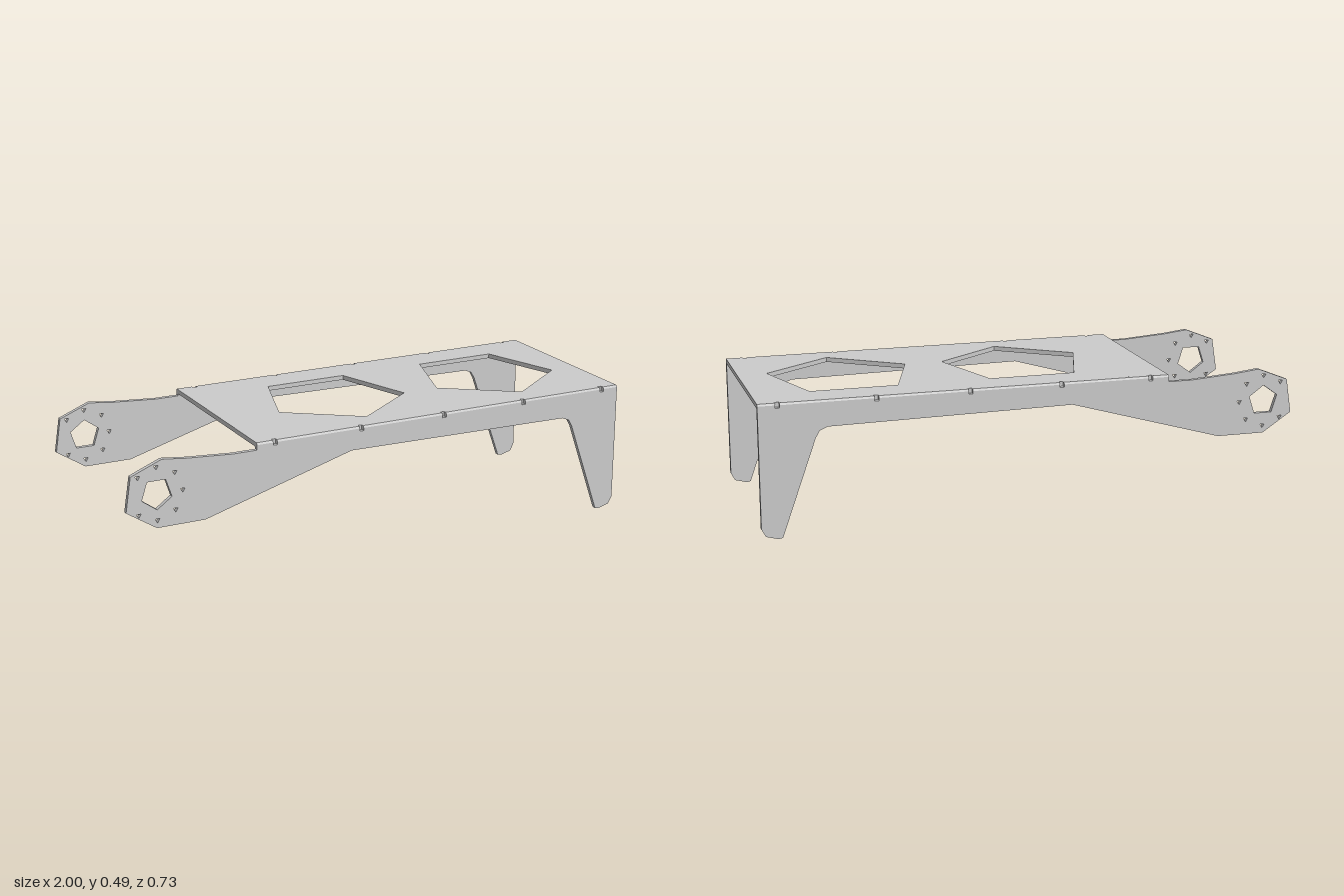
import * as THREE from 'three';

const material = new THREE.MeshStandardMaterial({ color: 0xcccccc, flatShading: true });
const T = 0.017;          // sheet thickness
const TOP = 0.49;         // upper face height
const HALF = 0.365;       // half depth
const X0 = -0.51, X1 = 1; // deck ends

const outline = (points) => points.map(([x, y]) => new THREE.Vector2(x, y));

function polygon(cx, cy, r, sides, start) {
  return Array.from({ length: sides }, (_, i) => {
    const a = start + (i / sides) * Math.PI * 2;
    return [cx + r * Math.cos(a), cy + r * Math.sin(a)];
  });
}

function sheet(name, points, holes, depth) {
  const shape = new THREE.Shape(outline(points));
  for (const h of holes) shape.holes.push(new THREE.Path(outline(h)));
  const geometry = new THREE.ExtrudeGeometry(shape, { depth, bevelEnabled: false });
  const mesh = new THREE.Mesh(geometry, material);
  mesh.name = name;
  return mesh;
}

export function createModel() {
  const model = new THREE.Group();
  model.name = 'bentSheetBracket';

  // Deck with two pentagon windows (shape y is -z)
  const windowPoints = [[-0.19, 0.228], [0.13, 0.228], [0.23, -0.08], [-0.03, -0.27], [-0.29, -0.08]];
  const windows = [0, 0.662].map((dx) => windowPoints.map(([x, y]) => [x + dx, y]));
  const inner = HALF - T;
  const deck = sheet('deck', [[X0, -inner], [X1, -inner], [X1, inner], [X0, inner]], windows, T);
  deck.rotation.x = -Math.PI / 2;
  deck.position.y = TOP - T;
  model.add(deck);

  // Side wall: pivot head, tapering arm, rail and leg
  const wall = [
    [-1, 0.315], [-0.89, 0.243], [-0.71, 0.243], [-0.14, 0.406], [0.755, 0.394],
    [0.785, 0.382], [0.8, 0.355], [0.925, 0.003], [0.94, 0], [0.985, 0.012], [1, 0.04],
    [X1, TOP - T], [X0, TOP - T], [X0, 0.465], [-0.6, 0.465], [-0.77, 0.477],
    [-0.865, 0.488], [-0.98, 0.442],
  ];
  const hub = [-0.887, 0.367];

  // Rounded fold cross-section (shape x is depth, y is height)
  const fold = [
    [inner, TOP - T], [HALF, TOP - T], [HALF, TOP - 0.007],
    [HALF - 0.002, TOP - 0.003], [HALF - 0.006, TOP], [inner, TOP],
  ];
  const notches = [-0.44, -0.1, 0.24, 0.58, 0.93];

  for (const side of [1, -1]) {
    const label = side > 0 ? 'front' : 'back';

    // Pivot opening ringed by small triangular screw holes
    const holes = [polygon(...hub, 0.058, 5, -side * Math.PI / 2)];
    for (let i = 0; i < 8; i++) {
      const a = (i / 8) * Math.PI * 2;
      holes.push(polygon(hub[0] + 0.096 * Math.cos(a), hub[1] + 0.096 * Math.sin(a), 0.01, 3, -Math.PI / 2));
    }
    const panel = sheet(label + 'SideWall', wall, holes, T);
    panel.position.z = side > 0 ? inner : -HALF;
    model.add(panel);

    // Fold segments separated by relief notches
    const edge = new THREE.Group();
    edge.name = label + 'FoldedEdge';
    const stops = [X0, ...notches.flatMap((n) => [n - 0.008, n + 0.008]), X1];
    const section = fold.map(([z, y]) => [-side * z, y]);
    for (let i = 0; i < stops.length; i += 2) {
      const piece = sheet('foldSegment', section, [], stops[i + 1] - stops[i]);
      piece.rotation.y = Math.PI / 2; // extrusion runs along +x, shape x becomes -z
      piece.position.x = stops[i];
      edge.add(piece);
    }
    model.add(edge);
  }
  return model;
}
